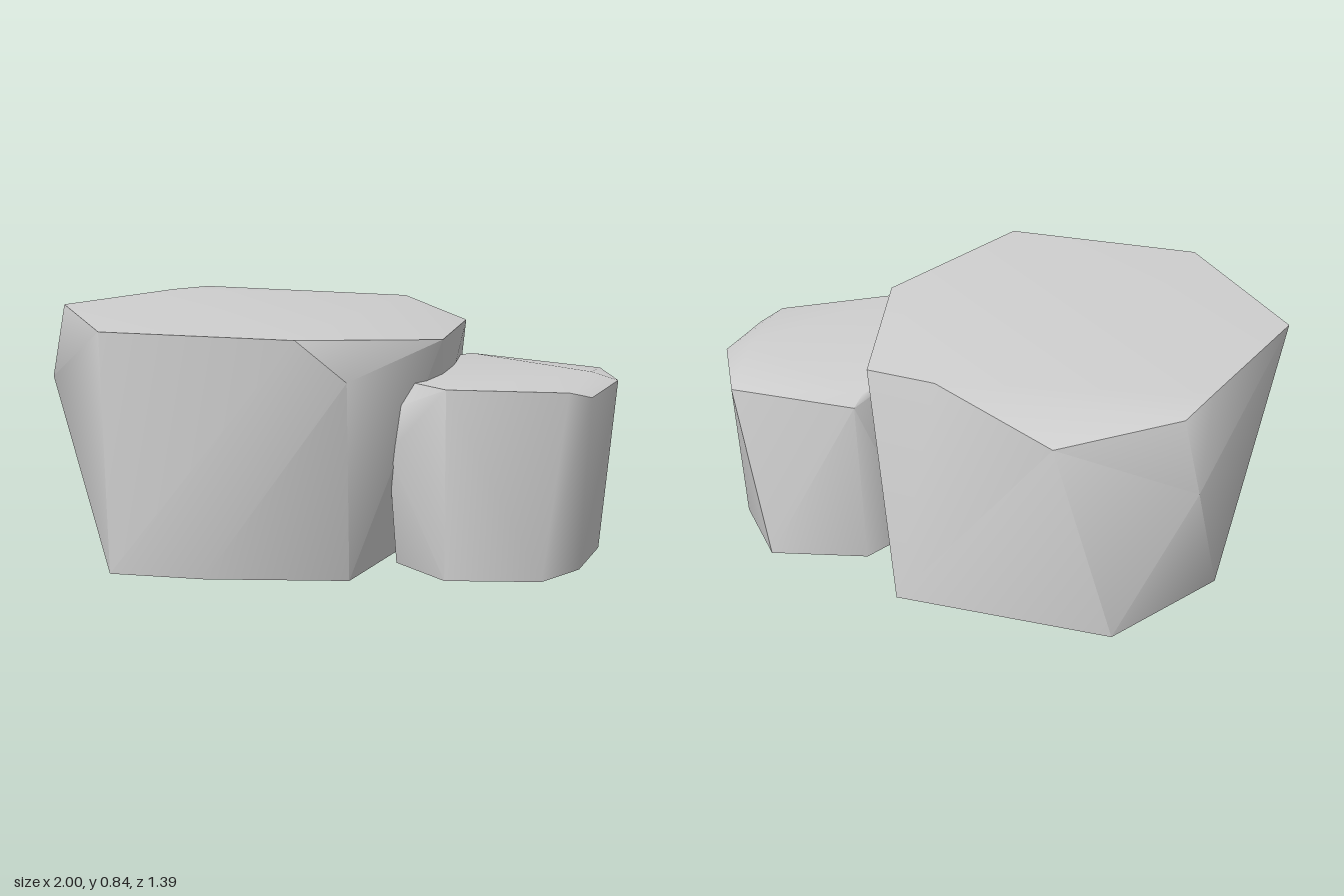
import * as THREE from 'three';
import { ConvexGeometry } from 'three/addons/geometries/ConvexGeometry.js';
import { toCreasedNormals } from 'three/addons/utils/BufferGeometryUtils.js';

const stone = new THREE.MeshStandardMaterial({ color: 0xcfcfcf, side: THREE.DoubleSide });
stone.name = 'pale grey stone';

// Faceted boulder wrapped around a few corners, left open underneath
function makeRock(name, corners) {
  const hull = new ConvexGeometry(corners.map((c) => new THREE.Vector3(...c)));
  const p = hull.attributes.position;
  const kept = [];
  for (let i = 0; i < p.count; i += 3) {
    if (Math.max(p.getY(i), p.getY(i + 1), p.getY(i + 2)) < 0.001) continue;
    for (let k = i; k < i + 3; k++) kept.push(p.getX(k), p.getY(k), p.getZ(k));
  }
  const open = new THREE.BufferGeometry();
  open.setAttribute('position', new THREE.Float32BufferAttribute(kept, 3));
  open.computeVertexNormals();
  const mesh = new THREE.Mesh(toCreasedNormals(open, 0.82), stone);
  mesh.name = name;
  return mesh;
}

export function createModel() {
  const group = new THREE.Group();
  group.name = 'rocks';

  group.add(makeRock('largeRock', [
    // top rim
    [-1, 0.835, 0.08], [-0.74, 0.836, -0.4], [-0.65, 0.83, -0.56], [-0.24, 0.78, -0.697],
    [0.17, 0.836, -0.43], [0.425, 0.775, -0.27], [0.428, 0.79, 0.285], [0.02, 0.838, 0.695],
    [-0.67, 0.828, 0.61],
    // shoulders
    [0.18, 0.7, 0.655], [-0.985, 0.6, 0.24], [-0.71, 0.59, -0.62], [0.425, 0.64, 0],
    // base
    [0.16, 0, 0.52], [0.35, 0, -0.27], [0.31, 0, -0.52], [-0.45, 0, -0.655],
    [-0.8, 0, -0.31], [-0.82, 0, -0.05], [-0.78, 0, 0.2], [-0.65, 0, 0.62], [-0.32, 0, 0.61],
  ]));

  group.add(makeRock('smallRock', [
    // top rim
    [0.47, 0.655, 0.468], [0.35, 0.655, 0.375], [0.34, 0.655, -0.1], [0.45, 0.657, -0.24],
    [0.47, 0.635, -0.298], [0.92, 0.627, -0.21], [1, 0.632, 0.05], [0.91, 0.66, 0.06],
    [0.93, 0.615, 0.29], [0.86, 0.64, 0.355],
    // shoulders
    [0.3, 0.58, 0.415], [0.27, 0.42, 0.41],
    // base
    [0.275, 0, 0.28], [0.47, 0, 0.45], [0.79, 0, 0.39], [0.9, 0, 0.22],
    [0.945, 0, -0.06], [0.8, 0, -0.315], [0.45, 0, -0.3], [0.29, 0, -0.12],
  ]));

  return group;
}
